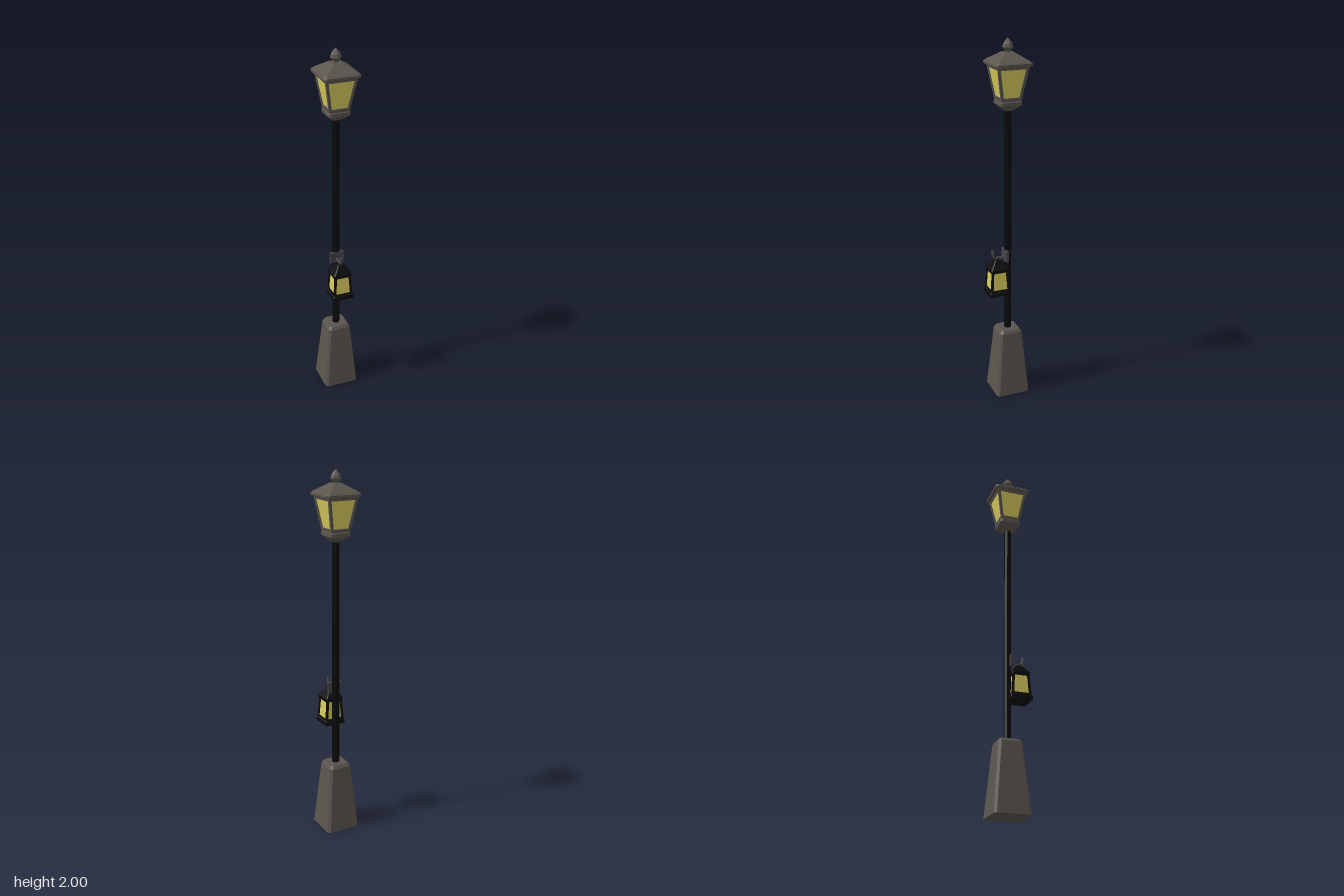
import * as THREE from 'three';

const mat = (name, color) => Object.assign(new THREE.MeshStandardMaterial({ color }), { name });

export function createModel() {
  const stone = mat('warm grey iron', 0x5a554e);
  const black = mat('black iron', 0x0b0b0c);
  const steel = mat('bracket grey', 0x45454a);
  const glass = mat('yellow glass', 0xd6ca5c);
  const root = new THREE.Group();
  root.name = 'streetLamp';

  const add = (parent, name, geo, material) => {
    const g = geo.index ? geo.toNonIndexed() : geo;
    g.computeVertexNormals();
    const m = new THREE.Mesh(g, material);
    m.name = name;
    parent.add(m);
    return m;
  };
  const group = (name, z) => {
    const g = new THREE.Group();
    g.name = name;
    g.position.z = z;
    root.add(g);
    return g;
  };

  // Closed loft of square sections with clipped corners: [y, halfWidth, clip]
  function loft(sections) {
    const pos = [], idx = [];
    for (const [y, h, c] of sections) {
      const k = h - c;
      for (const [x, z] of [[h, -k], [h, k], [k, h], [-k, h], [-h, k], [-h, -k], [-k, -h], [k, -h]]) pos.push(x, y, z);
    }
    const n = sections.length;
    for (let i = 0; i < n - 1; i++) {
      for (let j = 0; j < 8; j++) {
        const a = i * 8 + j, b = i * 8 + (j + 1) % 8;
        idx.push(a, a + 8, b, b, a + 8, b + 8);
      }
    }
    const t = (n - 1) * 8;
    for (let j = 1; j < 7; j++) idx.push(0, j, j + 1, t, t + j + 1, t + j);
    const g = new THREE.BufferGeometry();
    g.setAttribute('position', new THREE.Float32BufferAttribute(pos, 3));
    g.setIndex(idx);
    return g;
  }

  // Four sloping window frames around recessed glass
  function windows(parent, y0, h0, y1, h1, side, rail, frameMat) {
    const len = Math.hypot(y1 - y0, h1 - h0), tilt = Math.atan2(h1 - h0, y1 - y0);
    const at = v => h0 + (h1 - h0) * v / len - side;
    const trapezoid = (C, a, b, lo, hi) => {
      const s = new C();
      s.moveTo(-a, lo); s.lineTo(a, lo); s.lineTo(b, hi); s.lineTo(-b, hi); s.closePath();
      return s;
    };
    const shape = trapezoid(THREE.Shape, h0, h1, 0, len);
    shape.holes.push(trapezoid(THREE.Path, at(rail), at(len - rail), rail, len - rail));
    for (let i = 0; i < 4; i++) {
      const g = new THREE.ExtrudeGeometry(shape, { depth: 0.009, bevelEnabled: false });
      g.translate(0, 0, -0.009).rotateX(tilt).translate(0, y0, h0).rotateY(i * Math.PI / 2);
      add(parent, 'windowFrame', g, frameMat);
    }
    add(parent, 'glass', loft([[y0, h0 - 0.006, 0.003], [y1, h1 - 0.006, 0.003]]), glass);
  }

  // Plinth and pole
  const post = group('post', -0.011);
  add(post, 'plinth', loft([[0, 0.097, 0.013], [0.372, 0.064, 0.013], [0.388, 0.054, 0.012]]), stone);
  add(post, 'pole', new THREE.CylinderGeometry(0.02, 0.02, 1.27, 8).rotateY(Math.PI / 8).translate(0, 1.01, 0), black);

  // Main lamp head
  const head = group('lampHead', -0.011);
  add(head, 'lampFoot', loft([[1.632, 0.022, 0.006], [1.664, 0.058, 0.007], [1.682, 0.058, 0.007], [1.69, 0.051, 0.006]]), stone);
  windows(head, 1.686, 0.054, 1.868, 0.086, 0.014, 0.018, stone);
  add(head, 'roof', loft([[1.862, 0.094, 0.012], [1.868, 0.1, 0.013], [1.88, 0.1, 0.013], [1.89, 0.089, 0.011], [1.93, 0.026, 0.004]]), stone);
  const finial = [[0, 1.925], [0.016, 1.925], [0.016, 1.936], [0.03, 1.954], [0.025, 1.97], [0.012, 1.988], [0, 2]];
  add(head, 'finial', new THREE.LatheGeometry(finial.map(p => new THREE.Vector2(...p)), 8), stone);

  // Small hanging lantern
  const lantern = group('hangingLantern', 0.05);
  add(lantern, 'lanternFloor', loft([[0.61, 0.06, 0.005], [0.632, 0.06, 0.005], [0.638, 0.053, 0.004]]), black);
  windows(lantern, 0.634, 0.054, 0.754, 0.046, 0.012, 0.01, black);
  add(lantern, 'lanternRoof', loft([[0.745, 0.05, 0.005], [0.763, 0.051, 0.005], [0.795, 0.026, 0.004], [0.808, 0.016, 0.004]]), black);

  // Wall bracket: plate through the pole, arm with upturned tip, hanger
  const bracket = group('bracket', 0);
  add(bracket, 'bracketPlate', new THREE.BoxGeometry(0.082, 0.062, 0.014).translate(0, 0.828, 0.003), steel);
  const path = new THREE.CatmullRomCurve3(
    [[0.82, 0], [0.815, 0.03], [0.815, 0.055], [0.826, 0.07], [0.858, 0.076]].map(([y, z]) => new THREE.Vector3(0, y, z)));
  add(bracket, 'hookArm', new THREE.TubeGeometry(path, 14, 0.009, 6), steel);
  add(bracket, 'hookTip', new THREE.SphereGeometry(0.009, 6, 4).translate(0, 0.857, 0.076), steel);
  add(bracket, 'hanger', new THREE.TorusGeometry(0.011, 0.004, 5, 10).translate(0, 0.814, 0.05), black);

  return root;
}
